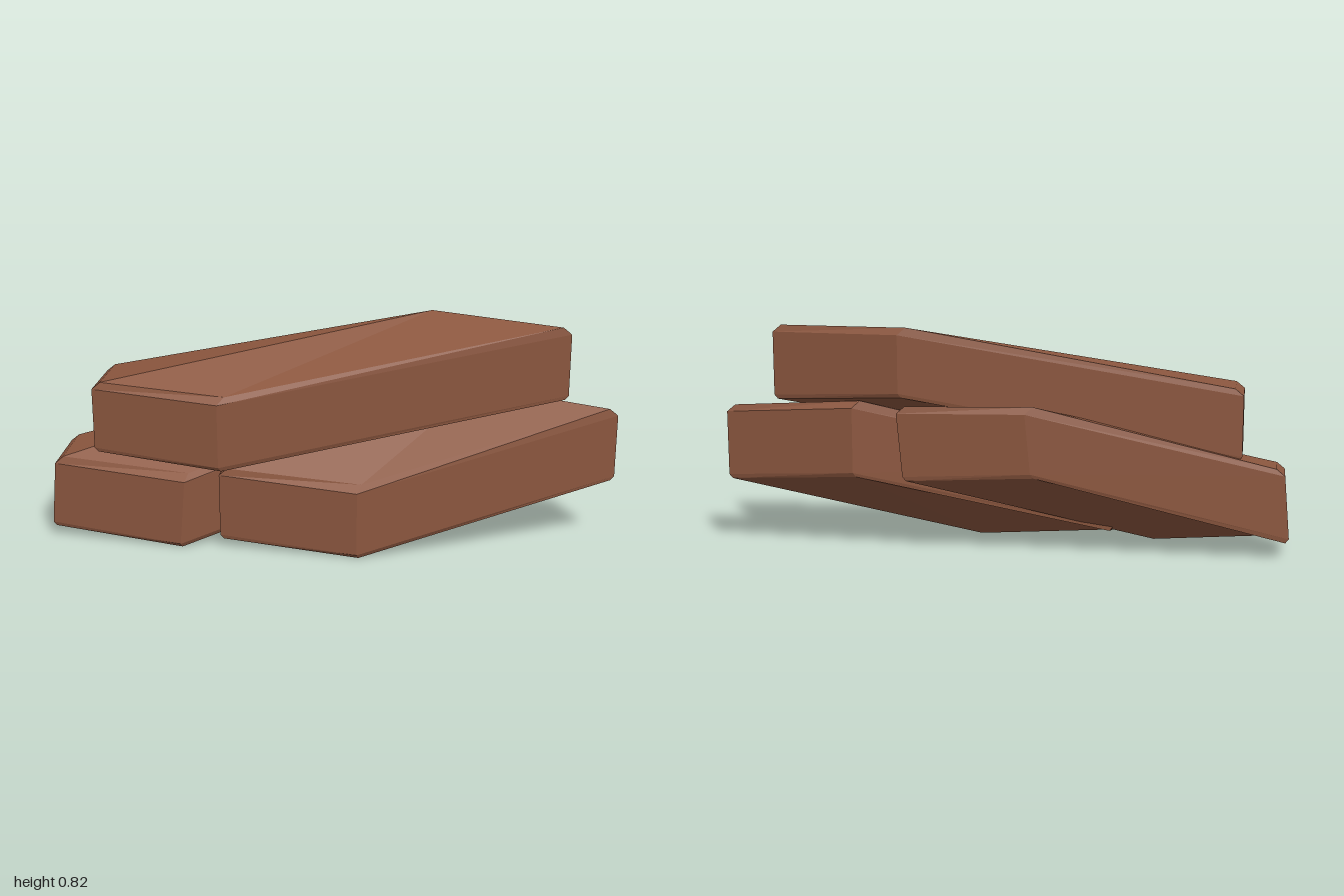
import * as THREE from 'three';

const clay = new THREE.MeshStandardMaterial({ color: 0x8c573f });
clay.name = 'brownClay';

// A skewed five-sided stone. Each corner is [x, z, bottom y, top y], in the
// order left, front, right, back, leftBack; the top leans by `lean` along x.
function makeStone(name, corners, lean = 0) {
  const cx = corners.reduce((s, c) => s + c[0], 0) / corners.length;
  const cz = corners.reduce((s, c) => s + c[1], 0) / corners.length;

  // One ring of the chamfered outline, drawn in towards the middle.
  const ring = (inset, yOf, shift) => corners.map((c) => {
    const dx = cx - c[0], dz = cz - c[1];
    const k = inset / Math.hypot(dx, dz);
    return [c[0] + dx * k + shift, c[1] + dz * k, yOf(c)];
  });
  const rings = [
    ring(0.012, (c) => c[2], 0),
    ring(0, (c) => c[2] + 0.015, 0),
    ring(0, (c) => c[3] - 0.025, lean),
    ring(0.03, (c) => c[3], lean),
  ];

  const positions = [];
  const tri = (...points) => points.forEach(([x, z, y]) => positions.push(x, y, z));

  // Walls and chamfers
  const n = corners.length;
  for (let r = 0; r < rings.length - 1; r++) {
    const a = rings[r], b = rings[r + 1];
    for (let i = 0; i < n; i++) {
      const j = (i + 1) % n;
      tri(a[i], a[j], b[j]);
      tri(a[i], b[j], b[i]);
    }
  }
  // Faceted top and bottom
  const bottom = rings[0], top = rings[3];
  for (const [i, j, k] of [[0, 1, 3], [1, 2, 3], [0, 3, 4]]) {
    tri(top[i], top[j], top[k]);
    tri(bottom[k], bottom[j], bottom[i]);
  }

  const geometry = new THREE.BufferGeometry();
  geometry.setAttribute('position', new THREE.Float32BufferAttribute(positions, 3));
  geometry.computeVertexNormals(); // unshared corners give flat facets
  const mesh = new THREE.Mesh(geometry, clay);
  mesh.name = name;
  return mesh;
}

export function createModel() {
  const group = new THREE.Group();
  group.name = 'stackedStones';
  group.add(
    makeStone('topStone', [
      [-0.83, 0.15, 0.34, 0.6],
      [-0.375, 0.19, 0.305, 0.578],
      [0.825, -0.085, 0.54, 0.805],
      [0.36, -0.19, 0.573, 0.817],
      [-0.825, -0.04, 0.35, 0.605],
    ]),
    makeStone('lowerRightStone', [
      [-1.0, 0.15, 0.04, 0.31],
      [-0.52, 0.185, 0, 0.28],
      [0.35, -0.175, 0.275, 0.54],
      [-0.1, -0.187, 0.3, 0.55],
      [-0.995, -0.04, 0.06, 0.325],
    ], 0.02),
    makeStone('lowerLeftStone', [
      [-0.38, 0.16, 0.035, 0.305],
      [0.115, 0.185, 0, 0.275],
      [1.0, -0.087, 0.245, 0.515],
      [0.53, -0.16, 0.28, 0.552],
      [-0.37, 0.1, 0.045, 0.315],
    ]),
  );
  return group;
}
